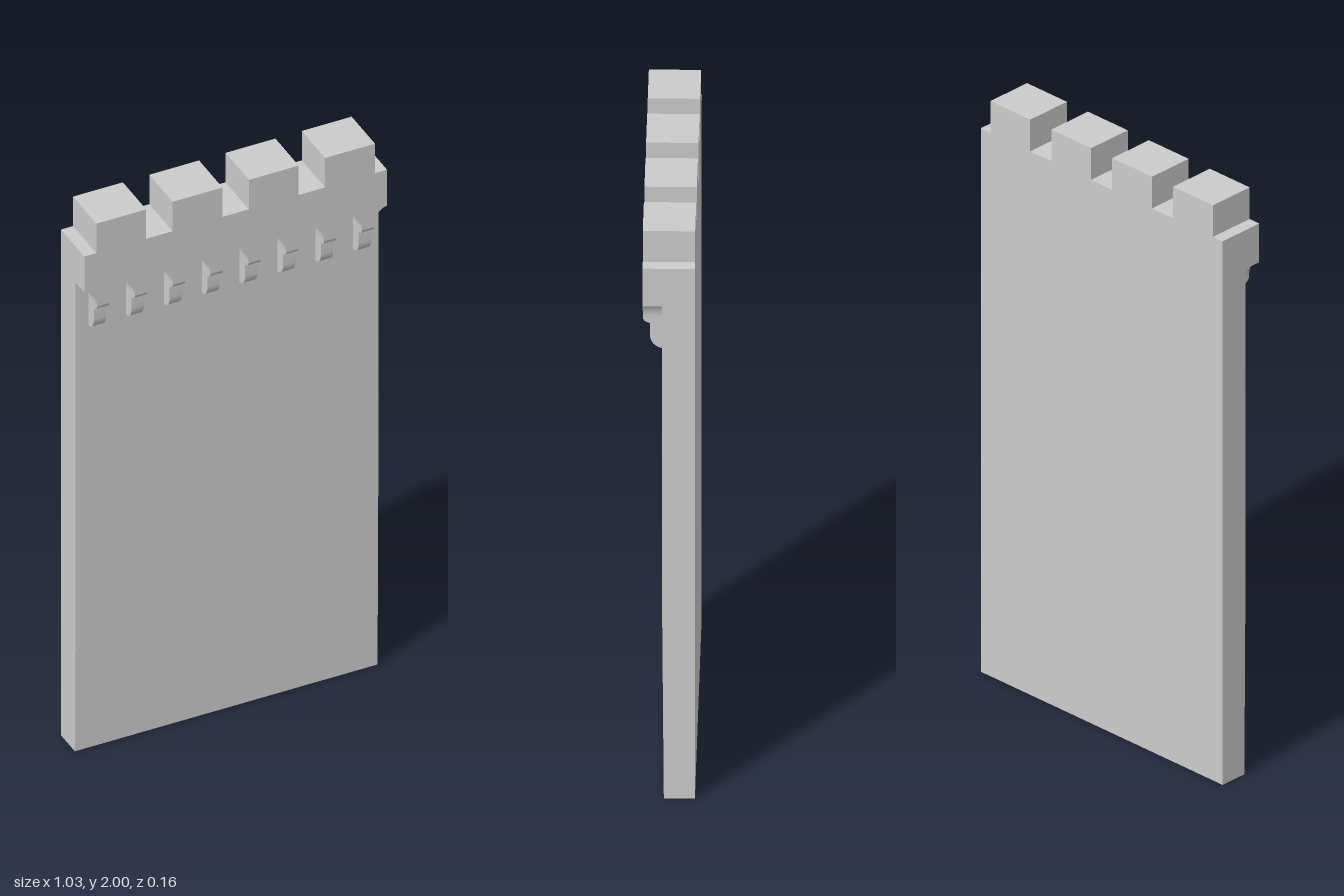
import * as THREE from 'three';
import { toCreasedNormals } from 'three/addons/utils/BufferGeometryUtils.js';

const WIDTH = 1.032, BACK = -0.08, WALL = 0.02, FRONT = 0.08;
const ARCH_TOP = 1.755, SPRING = 1.69, WALK = 1.89, TOP = 2;
const COUNT = 8, PITCH = WIDTH / COUNT, HALF_CORBEL = 0.021;

const material = new THREE.MeshStandardMaterial({ color: 0xcccccc });

function extrude(shape, depth) {
  const geo = new THREE.ExtrudeGeometry(shape, { depth, bevelEnabled: false, curveSegments: 12 });
  return toCreasedNormals(geo, 0.6);
}

// Extrudes a side profile drawn as (z, y) across x, centred on x = 0
function extrudeAcross(shape, width) {
  return extrude(shape, width).translate(0, 0, -width / 2).rotateY(-Math.PI / 2);
}

function part(name, geometry) {
  const mesh = new THREE.Mesh(geometry, material);
  mesh.name = name;
  return mesh;
}

const polygon = (points) => new THREE.Shape(points.map(([x, y]) => new THREE.Vector2(x, y)));

// Stone between two neighbouring half arches
function spandrelShape() {
  const half = PITCH / 2, rx = half - HALF_CORBEL, ry = ARCH_TOP - SPRING;
  const s = new THREE.Shape();
  s.moveTo(-HALF_CORBEL, SPRING);
  s.lineTo(HALF_CORBEL, SPRING);
  s.absellipse(half, SPRING, rx, ry, Math.PI, Math.PI / 2, true);
  s.lineTo(-half, ARCH_TOP);
  s.absellipse(-half, SPRING, rx, ry, Math.PI / 2, 0, true);
  return s;
}

// Two-step rounded bracket
function corbelShape() {
  const s = new THREE.Shape();
  s.moveTo(WALL, 1.58);
  s.quadraticCurveTo(0.055, 1.59, 0.058, 1.625);
  s.lineTo(0.058, 1.67);
  s.quadraticCurveTo(0.078, 1.674, FRONT, SPRING);
  s.lineTo(WALL, SPRING);
  s.closePath();
  return s;
}

export function createModel() {
  const group = new THREE.Group();
  group.name = 'battlementWall';

  // Wall slab, slightly thinner towards the foot
  group.add(part('wall', extrudeAcross(polygon([
    [BACK, 0], [0.015, 0], [WALL, 0.65], [WALL, ARCH_TOP], [BACK, ARCH_TOP],
  ]), WIDTH)));

  // Overhanging parapet with four merlons cut as one outline
  const outline = [[-WIDTH / 2, ARCH_TOP], [WIDTH / 2, ARCH_TOP], [WIDTH / 2, WALK]];
  for (const x of [0.39, 0.13, -0.13, -0.39]) {
    outline.push([x + 0.085, WALK], [x + 0.085, TOP], [x - 0.085, TOP], [x - 0.085, WALK]);
  }
  outline.push([-WIDTH / 2, WALK]);
  group.add(part('parapet', extrude(polygon(outline), FRONT - BACK).translate(0, 0, BACK)));

  // Arcade of corbels carrying the parapet
  const spandrel = extrude(spandrelShape(), FRONT - WALL).translate(0, 0, WALL);
  const corbel = extrudeAcross(corbelShape(), HALF_CORBEL * 2);
  for (let i = 0; i < COUNT; i++) {
    const bracket = new THREE.Group();
    bracket.name = 'archBracket';
    bracket.position.x = (i - (COUNT - 1) / 2) * PITCH;
    bracket.add(part('spandrel', spandrel), part('corbel', corbel));
    group.add(bracket);
  }
  return group;
}
